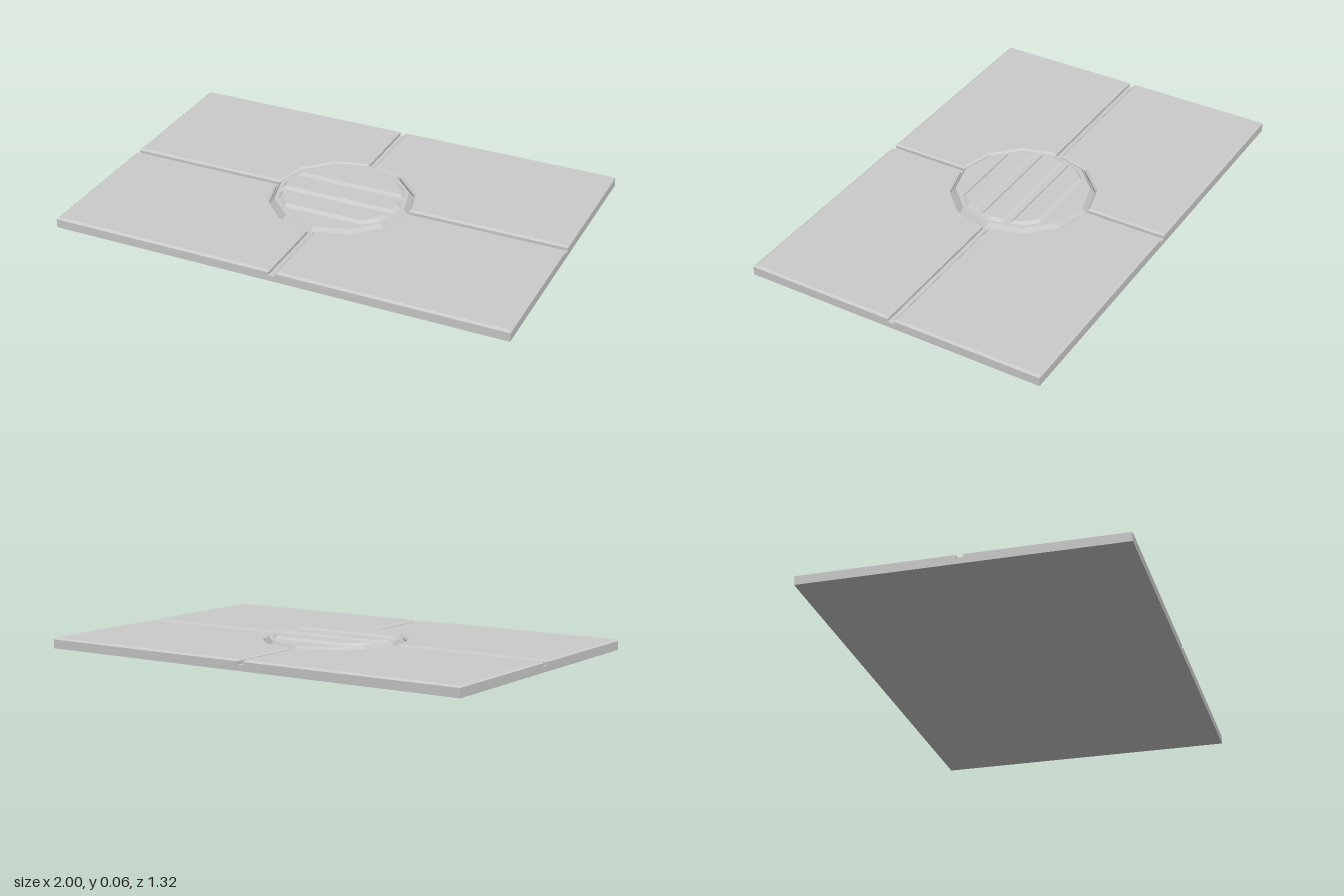
import * as THREE from 'three';

const T = Math.tan(Math.PI / 12);

// Stack of matching outlines [y, [[x, z], ...]] joined by walls and closed on top
function loft(name, levels, material) {
  const toV = (pts) => pts.map(([x, z]) => new THREE.Vector2(x, z));
  const flip = THREE.ShapeUtils.area(toV(levels[0][1])) > 0;
  const rings = levels.map(([y, pts]) => {
    const ring = pts.map(([x, z]) => new THREE.Vector3(x, y, z));
    return flip ? ring.reverse() : ring;
  });
  const pos = [];
  const tri = (a, b, c) => [a, b, c].forEach((p) => pos.push(p.x, p.y, p.z));
  for (let k = 0; k + 1 < rings.length; k++) {
    const lo = rings[k], hi = rings[k + 1];
    lo.forEach((p, i) => {
      const j = (i + 1) % lo.length;
      tri(p, lo[j], hi[j]);
      tri(p, hi[j], hi[i]);
    });
  }
  const top = rings[rings.length - 1];
  const flat = top.map((p) => new THREE.Vector2(p.x, p.z));
  for (const [a, b, c] of THREE.ShapeUtils.triangulateShape(flat, [])) {
    const A = top[a], B = top[b], C = top[c];
    const up = (B.z - A.z) * (C.x - A.x) - (B.x - A.x) * (C.z - A.z) > 0;
    if (up) tri(A, B, C); else tri(A, C, B);
  }
  const geo = new THREE.BufferGeometry();
  geo.setAttribute('position', new THREE.Float32BufferAttribute(pos, 3));
  geo.computeVertexNormals();
  const mesh = new THREE.Mesh(geo, material);
  mesh.name = name;
  return mesh;
}

// Twelve-sided outline with corners on the axes
const dodecagon = (r) => Array.from({ length: 12 }, (_, i) => {
  const a = (i * Math.PI) / 6;
  return [r * Math.cos(a), r * Math.sin(a)];
});

// Half width of that outline at a given z
const widthAt = (r, z) => {
  const d = Math.abs(z);
  return d < r / 2 ? r - T * d : r * (0.5 + Math.cos(Math.PI / 6)) - d;
};

// Quarter slab: ex, ez outer edges, g half groove, r round cut-out
function quarter(sx, sz, ex, ez, g, r) {
  const c = r * Math.cos(Math.PI / 6);
  return [
    [ex, g], [ex, ez], [g, ez], [g, r - T * g],
    [r / 2, c], [c, r / 2], [r - T * g, g],
  ].map(([x, z]) => [x * sx, z * sz]);
}

// Strip of the twelve-sided outline between three z values
function strip(r, zs) {
  const right = zs.map((z) => [widthAt(r, z), z]);
  const left = zs.map((z) => [-widthAt(r, z), z]).reverse();
  return [...right, ...left];
}

export function createModel() {
  const group = new THREE.Group();
  group.name = 'floorPanel';
  const mat = new THREE.MeshStandardMaterial({ color: 0xcccccc, flatShading: true });

  // Base plate forming the groove floor
  const base = new THREE.Mesh(new THREE.BoxGeometry(2, 0.025, 1.32), mat);
  base.position.y = 0.0125;
  base.name = 'basePlate';
  group.add(base);

  // Four bevelled slabs
  for (const sx of [1, -1]) for (const sz of [1, -1]) {
    group.add(loft('cornerSlab', [
      [0.025, quarter(sx, sz, 1, 0.66, 0.014, 0.307)],
      [0.038, quarter(sx, sz, 1, 0.66, 0.014, 0.307)],
      [0.046, quarter(sx, sz, 0.991, 0.651, 0.022, 0.316)],
    ], mat));
  }

  // Raised centre disc
  group.add(loft('centreDisc', [
    [0.025, dodecagon(0.305)],
    [0.053, dodecagon(0.286)],
  ], mat));

  // Three grip bars trimmed to the disc outline
  group.add(loft('middleBar', [
    [0.053, strip(0.27, [-0.055, 0, 0.055])],
    [0.064, strip(0.256, [-0.041, 0, 0.041])],
  ], mat));
  for (const s of [1, -1]) {
    group.add(loft(s > 0 ? 'frontBar' : 'backBar', [
      [0.053, strip(0.27, [0.08, 0.135, 0.19].map((z) => z * s))],
      [0.064, strip(0.256, [0.093, 0.128, 0.175].map((z) => z * s))],
    ], mat));
  }
  return group;
}
